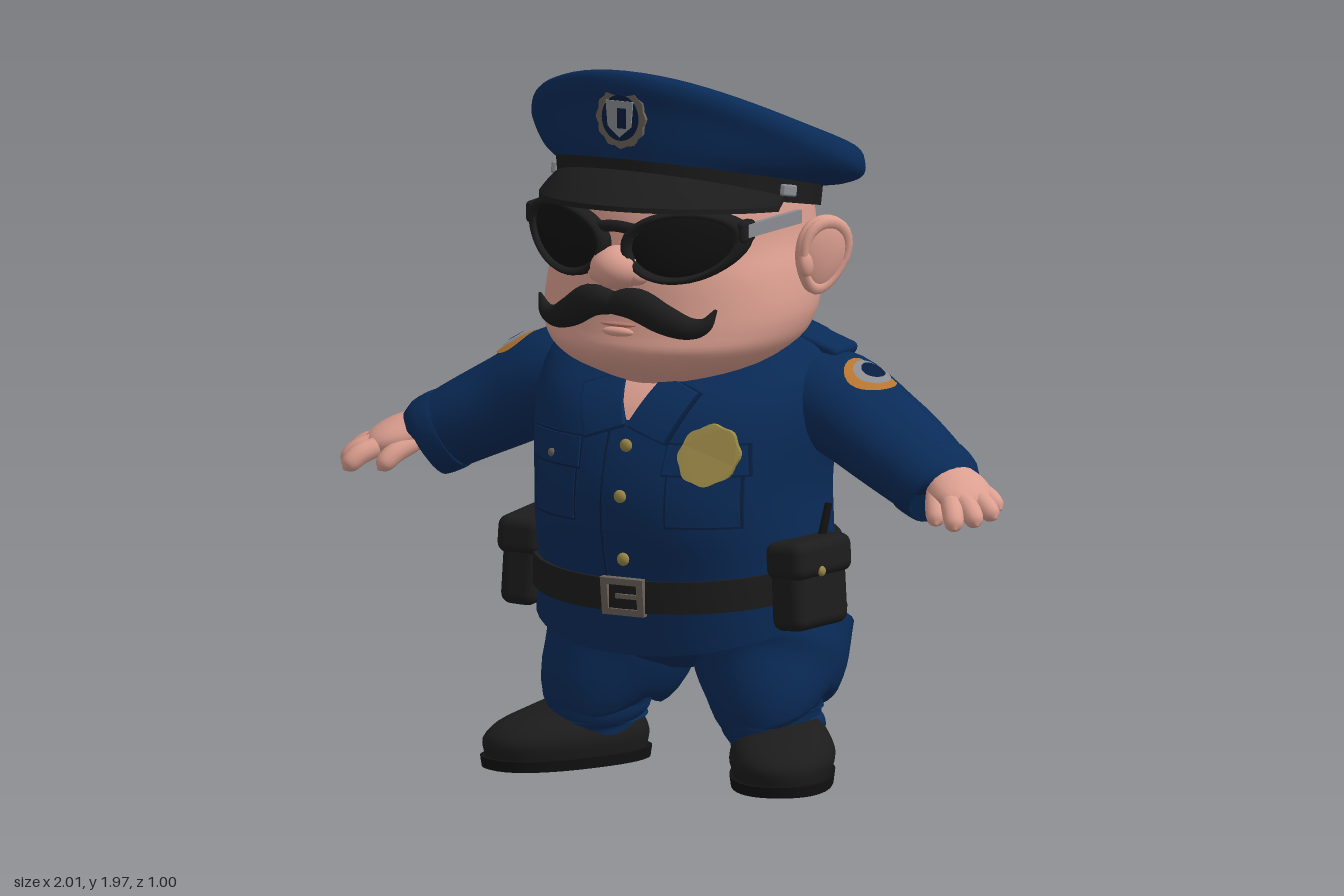
import * as THREE from 'three';
import { toCreasedNormals } from 'three/addons/utils/BufferGeometryUtils.js';
import { RoundedBoxGeometry } from 'three/addons/geometries/RoundedBoxGeometry.js';

const V = (x, y, z) => new THREE.Vector3(x, y, z);

// Smoothly densify rows of up to six numbers
function spline(rows, k) {
  const curve = o => new THREE.CatmullRomCurve3(rows.map(r => V(r[o] || 0, r[o + 1] || 0, r[o + 2] || 0)), false, 'catmullrom', 0.5);
  const a = curve(0), b = curve(3), n = (rows.length - 1) * k;
  return Array.from({ length: n + 1 }, (_, i) => [...a.getPoint(i / n).toArray(), ...b.getPoint(i / n).toArray()]);
}

// Join rings of points into a closed skin with end caps
function skin(rings) {
  const pos = [], idx = [], n = rings[0].length;
  rings.forEach(r => r.forEach(p => pos.push(p.x, p.y, p.z)));
  for (let i = 0; i < rings.length - 1; i++) for (let j = 0; j < n; j++) {
    const a = i * n + j, b = i * n + (j + 1) % n;
    idx.push(a, b, a + n, b, b + n, a + n);
  }
  for (const end of [0, 1]) {
    const ring = rings[end ? rings.length - 1 : 0], base = pos.length / 3, c = V(0, 0, 0);
    ring.forEach(p => { pos.push(p.x, p.y, p.z); c.addScaledVector(p, 1 / n); });
    pos.push(c.x, c.y, c.z);
    for (let j = 0; j < n; j++) {
      const p = base + j, q = base + (j + 1) % n;
      idx.push(base + n, end ? p : q, end ? q : p);
    }
  }
  const g = new THREE.BufferGeometry();
  g.setAttribute('position', new THREE.Float32BufferAttribute(pos, 3));
  g.setIndex(idx);
  g.computeVertexNormals();
  return g;
}

// Stack of level superellipses; row = [y, rx, rz, cz, tilt, bend]
function loft(rows, n = 2, seg = 40) {
  const pw = v => Math.sign(v) * Math.abs(v) ** (2 / n);
  return skin(rows.map(([y, rx, rz, cz = 0, f = 0, b = 0]) => Array.from({ length: seg }, (_, j) => {
    const a = j / seg * Math.PI * 2, t = -pw(Math.sin(a));
    return V(rx * pw(Math.cos(a)), y + f * t + b * t * t, cz + rz * t);
  })));
}

// Ellipses along a path; row = [x, y, z, sideRadius, upRadius]
function sweep(points, up, k = 5, seg = 20) {
  const rows = spline(points, k), at = i => V(...rows[Math.max(0, Math.min(rows.length - 1, i))].slice(0, 3));
  return skin(rows.map((r, i) => {
    const t = at(i + 1).sub(at(i - 1)).normalize();
    const side = up.clone().cross(t).normalize(), v = t.clone().cross(side);
    return Array.from({ length: seg }, (_, j) => {
      const a = j / seg * Math.PI * 2;
      return at(i).addScaledVector(side, r[3] * Math.cos(a)).addScaledVector(v, r[4] * Math.sin(a));
    });
  }));
}

// Move each vertex by a rule
function bend(g, rule) {
  const p = g.attributes.position;
  for (let i = 0; i < p.count; i++) p.setXYZ(i, ...rule(p.getX(i), p.getY(i), p.getZ(i)));
  g.computeVertexNormals();
  return g;
}

function mirror(g) {
  const m = g.clone().scale(-1, 1, 1);
  const idx = m.index ? Array.from(m.index.array) : Array.from({ length: m.attributes.position.count }, (_, i) => i);
  for (let i = 0; i < idx.length; i += 3) [idx[i], idx[i + 1]] = [idx[i + 1], idx[i]];
  m.setIndex(idx);
  return m;
}

const blob = (rx, ry, rz, x, y, z) => new THREE.SphereGeometry(1, 24, 16).scale(rx, ry, rz).translate(x, y, z);

const TORSO = spline([[0.452, 0.432, 0.35, -0.03, -0.025, -0.068], [0.56, 0.41, 0.352, -0.005], [0.7, 0.405, 0.368, 0.013], [0.82, 0.406, 0.366, 0.016],
  [0.95, 0.422, 0.348, -0.002], [1.05, 0.43, 0.32, -0.03], [1.13, 0.425, 0.267, -0.07], [1.19, 0.385, 0.213, -0.1], [1.23, 0.28, 0.16, -0.12]], 4);
const TN = 2.15;

// Front of the shirt at (x, y)
function shirtZ(x, y) {
  let i = 0;
  while (i < TORSO.length - 2 && TORSO[i + 1][0] < y) i++;
  const a = TORSO[i], b = TORSO[i + 1], t = (y - a[0]) / (b[0] - a[0]), mix = c => a[c] + (b[c] - a[c]) * t;
  return mix(3) + mix(2) * Math.max(0, 1 - Math.abs(x / mix(1)) ** TN) ** (1 / TN);
}
const drape = (g, off) => bend(g, (x, y, z) => [x, y, z + shirtZ(x, y) + off]);

// Four-cornered cloth panel lying on the shirt front
function panel(bl, br, tr, tl, off, th = 0.01) {
  const mixed = (u, v, c) => (bl[c] * (1 - u) + br[c] * u) * (1 - v) + (tl[c] * (1 - u) + tr[c] * u) * v;
  return drape(bend(new THREE.BoxGeometry(1, 1, th, 8, 8, 1), (x, y, z) => [mixed(x + 0.5, y + 0.5, 0), mixed(x + 0.5, y + 0.5, 1), z]), off);
}
const rect = (x0, x1, y0, y1, off, th) => panel([x0, y0], [x1, y0], [x1, y1], [x0, y1], off, th);

export function createModel() {
  const root = new THREE.Group();
  const paint = (name, color) => Object.assign(new THREE.MeshStandardMaterial({ color }), { name });
  const blue = paint('uniform blue', 0x0a2b58), navy = paint('seam navy', 0x071e40), skinM = paint('skin', 0xdc9f90), shade = paint('deep skin', 0xb87a6d);
  const black = paint('black leather', 0x1c1c1d), dark = paint('lens black', 0x111112), grey = paint('steel', 0x8a8c92);
  const gold = paint('gold', 0x978546), orange = paint('patch orange', 0xb5752f), bronze = paint('bronze', 0x6b625a);
  const add = (name, g, m) => { const o = new THREE.Mesh(g, m); o.name = name; root.add(o); };
  const pair = (name, g, m) => { add(name + 'Left', g, m); add(name + 'Right', mirror(g), m); };
  const Y = V(0, 1, 0), Z = V(0, 0, 1);

  // Shirt, trousers
  add('shirt', loft(TORSO, TN, 48), blue);
  add('collar', loft(spline([[1.14, 0.34, 0.27, -0.05, -0.04], [1.19, 0.33, 0.26, -0.05, -0.05], [1.21, 0.29, 0.23, -0.05, -0.05]], 3)), blue);
  add('hips', loft(spline([[0.285, 0.06, 0.12, -0.05], [0.325, 0.24, 0.21, -0.06], [0.41, 0.395, 0.28, -0.08], [0.52, 0.38, 0.31, -0.03]], 4)), blue);
  pair('trouserLeg', sweep([[0.275, 0.08, -0.01, 0.105, 0.165], [0.275, 0.13, 0, 0.112, 0.165], [0.268, 0.165, 0.005, 0.128, 0.175], [0.265, 0.185, 0.005, 0.13, 0.17],
    [0.26, 0.225, 0.01, 0.165, 0.185], [0.235, 0.31, -0.035, 0.2, 0.235], [0.215, 0.43, -0.08, 0.205, 0.275]], Z, 4, 28), blue);
  pair('trouserFold', sweep([[0.275, 0.115, 0, 0.108, 0.163], [0.275, 0.125, 0, 0.121, 0.175], [0.273, 0.14, 0, 0.12, 0.172], [0.27, 0.15, 0, 0.108, 0.16]], Z, 2, 28), blue);

  // Shoes, toes turned out
  const shoe = g => g.rotateY(0.46).translate(0.31, 0, 0.02);
  pair('shoeSole', shoe(toCreasedNormals(loft([[0, 0.138, 0.25, 0.055], [0.03, 0.142, 0.255, 0.055]], 2.4), 0.6)), dark);
  pair('shoeUpper', shoe(loft(spline([[0.03, 0.132, 0.243, 0.055], [0.075, 0.143, 0.247, 0.055], [0.115, 0.13, 0.215, 0.04], [0.145, 0.108, 0.16, 0.005], [0.165, 0.09, 0.12, -0.02]], 3), 2.3)), black);

  // Sleeves, cuffs, hands
  pair('sleeve', sweep([[0.26, 1.055, -0.09, 0.15, 0.12], [0.42, 1.03, -0.075, 0.163, 0.137], [0.57, 0.952, -0.06, 0.158, 0.126],
    [0.69, 0.89, -0.03, 0.143, 0.116], [0.795, 0.832, 0, 0.12, 0.105]], Y, 5, 28), blue);
  pair('sleeveCuff', sweep([[0.735, 0.866, -0.015, 0.125, 0.105], [0.74, 0.863, -0.014, 0.137, 0.114], [0.793, 0.835, 0, 0.125, 0.109], [0.8, 0.83, 0.002, 0.1, 0.085]], Y, 3, 28), blue);
  pair('palm', sweep([[0.75, 0.87, -0.01, 0.065, 0.055], [0.83, 0.855, 0.02, 0.08, 0.055], [0.89, 0.835, 0.06, 0.086, 0.046], [0.93, 0.812, 0.08, 0.066, 0.032], [0.945, 0.80, 0.09, 0.01, 0.01]], Y), skinM);
  const fingers = [[[0.88, 0.84, 0], [0.985, 0.8, 0.025]], [[0.91, 0.83, 0.05], [1.0, 0.785, 0.08]], [[0.91, 0.825, 0.1], [0.982, 0.775, 0.15]],
    [[0.89, 0.82, 0.13], [0.945, 0.77, 0.208]], [[0.81, 0.83, 0.07], [0.862, 0.77, 0.165]]];
  fingers.forEach(([a, b], i) => {
    const at = (t, r, lift) => [0, 1, 2].map(c => a[c] + (b[c] - a[c]) * t + (c === 1 ? lift : 0)).concat(r, r);
    pair(i < 4 ? 'finger' + (i + 1) : 'thumb', sweep([at(0, 0.028, 0), at(0.5, 0.029, 0.008), at(0.85, 0.024, 0), at(1, 0.004, -0.004)], Y, 4, 12), skinM);
  });

  // Shoulder straps and arm patches
  pair('shoulderStrap', new RoundedBoxGeometry(0.19, 0.035, 0.13, 3, 0.015).rotateZ(-0.32).translate(0.35, 1.192, -0.1), blue);
  [['patchRim', 1, 0, orange], ['patchField', 0.72, 0.004, grey], ['patchEmblem', 0.46, 0.008, navy]].forEach(([name, r, lift, m]) => {
    const disc = new THREE.RingGeometry(0.001, r, 28, 5).rotateX(-Math.PI / 2).scale(0.07, 1, 0.098);
    const drop = (x, z) => 0.13 * (Math.sqrt(1 - (z / 0.165) ** 2) - 1) - x * x;
    pair(name, bend(disc, (x, y, z) => [x, drop(x, z) + lift, z]).rotateZ(-0.52).translate(0.544, 1.125, -0.055), m);
  });

  // Open neck, lapels, pockets, placket
  add('neckOpening', panel([-0.004, 1.005], [0.004, 1.005], [0.07, 1.12], [-0.07, 1.12], 0.002), skinM);
  pair('lapel', panel([0.006, 0.995], [0.122, 0.955], [0.175, 1.08], [0.06, 1.12], 0.01, 0.016), blue);
  pair('lapelEdge', panel([0.003, 0.987], [0.127, 0.946], [0.183, 1.08], [0.06, 1.12], 0.003), navy);
  add('placketSeam', rect(-0.053, -0.047, 0.46, 0.98, 0, 0.008), navy);
  pair('pocketSeam', rect(0.136, 0.32, 0.724, 0.895, 0), navy);
  pair('pocket', rect(0.142, 0.314, 0.73, 0.89, 0.003), blue);
  pair('pocketFlapSeam', panel([0.124, 0.866], [0.336, 0.866], [0.33, 0.955], [0.13, 0.955], 0.004), navy);
  pair('pocketFlap', panel([0.129, 0.872], [0.331, 0.872], [0.325, 0.95], [0.135, 0.95], 0.009), blue);
  add('pocketButton', blob(0.012, 0.012, 0.008, -0.235, 0.895, shirtZ(-0.235, 0.895) + 0.014), bronze);
  [0.94, 0.805, 0.63].forEach((y, i) => add('shirtButton' + (i + 1), blob(0.018, 0.018, 0.012, 0.01, y, shirtZ(0.01, y) + 0.004), gold));

  // Scalloped chest badge
  const scallop = (r, n, d) => new THREE.Shape(Array.from({ length: 48 }, (_, i) => {
    const a = i / 48 * Math.PI * 2, q = r * (1 + d * Math.cos(n * a));
    return new THREE.Vector2(q * Math.cos(a), q * Math.sin(a));
  }));
  const plate = (s, depth) => new THREE.ExtrudeGeometry(s, { depth, bevelEnabled: false });
  add('chestBadge', drape(plate(scallop(0.073, 8, 0.035), 0.014).scale(0.97, 1.1, 1).translate(0.245, 0.927, 0), 0.018), gold);

  // Belt, buckle, pouches, radio
  const belt = (y, r) => [y, 0.41 + r, 0.348 + r, -0.005, -0.047];
  add('belt', toCreasedNormals(loft([belt(0.53, -0.03), belt(0.53, 0.016), belt(0.618, 0.016), belt(0.618, -0.03)], TN, 48), 0.7), black);
  const frame = new THREE.Shape([[-0.065, -0.052], [0.065, -0.052], [0.065, 0.052], [-0.065, 0.052]].map(p => new THREE.Vector2(...p)));
  frame.holes.push(new THREE.Path([[-0.045, -0.034], [-0.045, 0.034], [0.045, 0.034], [0.045, -0.034]].map(p => new THREE.Vector2(...p))));
  add('buckle', plate(frame, 0.018).rotateX(0.12).translate(0.005, 0.527, 0.35), bronze);
  add('bucklePin', new THREE.BoxGeometry(0.07, 0.012, 0.012).translate(0.02, 0.527, 0.363), bronze);
  pair('pouch', new RoundedBoxGeometry(0.105, 0.225, 0.235, 3, 0.03).rotateZ(0.06).rotateY(-0.12).translate(0.425, 0.55, 0.085), black);
  pair('pouchFlap', new RoundedBoxGeometry(0.125, 0.105, 0.255, 3, 0.03).rotateZ(0.06).rotateY(-0.12).translate(0.425, 0.63, 0.085), black);
  pair('pouchStud', blob(0.01, 0.014, 0.014, 0.485, 0.6, 0.12), gold);
  pair('antenna', new THREE.CylinderGeometry(0.01, 0.013, 0.13, 10).rotateX(-0.4).translate(0.43, 0.7, 0.01), dark);

  // Head, nose, ears, mouth
  add('head', loft(spline([[1.085, 0.07, 0.07, 0.17], [1.105, 0.17, 0.165, 0.1], [1.15, 0.28, 0.275, 0.075], [1.2, 0.338, 0.33, 0.062], [1.25, 0.364, 0.345, 0.04], [1.31, 0.372, 0.355, 0.02],
    [1.4, 0.36, 0.365, 0.003], [1.48, 0.336, 0.365, -0.01], [1.58, 0.325, 0.35, -0.01], [1.64, 0.312, 0.33, -0.015]], 4), 2.1, 48), skinM);
  add('nose', blob(0.075, 0.06, 0.075, 0, 1.432, 0.382), skinM);
  pair('nostril', blob(0.035, 0.032, 0.04, 0.055, 1.418, 0.375), skinM);
  add('mouth', blob(0.055, 0.007, 0.012, 0, 1.275, 0.376), shade);
  add('lowerLip', blob(0.05, 0.014, 0.016, 0, 1.255, 0.378), skinM);
  const ear = g => bend(g, (x, y, z) => [x * (1 + 2.2 * y), y, z]).rotateY(1.0).rotateX(-0.14).rotateZ(-0.2).translate(0.402, 1.44, -0.025);
  pair('ear', ear(blob(0.08, 0.11, 0.036, 0, 0, 0)), skinM);
  pair('earRim', ear(new THREE.TorusGeometry(0.07, 0.013, 10, 28).scale(0.92, 1.32, 1).translate(0, 0, 0.018)), skinM);
  pair('earLobule', blob(0.02, 0.04, 0.03, 0.385, 1.42, 0.025), skinM);
  pair('moustache', sweep([[-0.005, 1.338, 0.405, 0.03, 0.03], [0.07, 1.34, 0.405, 0.045, 0.035], [0.14, 1.302, 0.382, 0.042, 0.034],
    [0.2, 1.278, 0.355, 0.032, 0.028], [0.245, 1.287, 0.338, 0.021, 0.02], [0.273, 1.33, 0.325, 0.004, 0.004]], Z), black);

  // Wraparound sunglasses, fuller towards the upper outer corners
  const wrap = (x, y, z) => {
    const px = x * (1 + 1.2 * y) + 0.18;
    return [px, y + 1.498 + 0.1 * x, z + 0.392 - 1.25 * px * px];
  };
  pair('lens', bend(blob(0.142, 0.09, 0.02, 0, 0, 0), wrap), dark);
  pair('lensFrame', bend(new THREE.TorusGeometry(0.142, 0.017, 10, 40).scale(1, 0.64, 1.8), wrap), black);
  add('bridge', sweep([[-0.07, 1.54, 0.39, 0.016, 0.015], [0, 1.548, 0.395, 0.016, 0.015], [0.07, 1.54, 0.39, 0.016, 0.015]], Z), black);
  pair('hinge', new RoundedBoxGeometry(0.035, 0.06, 0.07, 2, 0.012).translate(0.322, 1.54, 0.255), black);
  pair('templeArm', new THREE.BoxGeometry(0.016, 0.036, 0.27).rotateY(-0.05).translate(0.34, 1.542, 0.13), grey);

  // Cap: row from front, side and back heights
  const tier = (F, S, B, rx, rz, cz) => [S, rx, rz, cz, (F - B) / 2, (F + B) / 2 - S];
  add('capBand', loft([tier(1.645, 1.575, 1.5, 0.352, 0.365, -0.015), tier(1.735, 1.65, 1.56, 0.36, 0.368, -0.015)], 2, 56), black);
  add('capCrown', loft(spline([tier(1.725, 1.635, 1.55, 0.362, 0.37, -0.015), tier(1.78, 1.645, 1.555, 0.405, 0.4, -0.04), tier(1.87, 1.67, 1.575, 0.445, 0.427, -0.065),
    tier(1.935, 1.71, 1.61, 0.456, 0.435, -0.065), tier(1.965, 1.755, 1.67, 0.43, 0.405, -0.065), tier(1.92, 1.79, 1.725, 0.3, 0.28, -0.065),
    tier(1.85, 1.807, 1.765, 0.13, 0.12, -0.065), tier(1.812, 1.81, 1.805, 0.006, 0.006, -0.065)], 4), 2, 56), blue);
  const peak = bend(new THREE.BoxGeometry(1, 1, 1, 32, 1, 6), (x, y, z) => {
    const a = x * 2.7, v = z + 0.5, c = Math.cos(a), mix = (p, q) => p + (q - p) * v;
    return [mix(0.35, 0.36) * Math.sin(a), mix(1.58 + 0.11 * c, 1.572 + 0.042 * c) + 0.008 * Math.sin(v * Math.PI) * c + 0.014 * y, mix(0.352 * c - 0.01, 0.48 * c + 0.015)];
  });
  add('capPeak', peak, black);
  pair('strapSlide', new RoundedBoxGeometry(0.018, 0.032, 0.07, 2, 0.006).rotateX(-0.2).translate(0.354, 1.625, 0.07), grey);

  // Cap emblem
  add('emblemRim', plate(scallop(0.074, 12, 0.04), 0.016).scale(1, 1.12, 1).translate(0, 1.84, 0.35), bronze);
  add('emblemField', plate(scallop(0.056, 1, 0), 0.004).scale(1, 1.12, 1).translate(0, 1.84, 0.366), navy);
  const shield = new THREE.Shape([[0, -0.055], [0.036, -0.025], [0.042, 0.045], [-0.042, 0.045], [-0.036, -0.025]].map(p => new THREE.Vector2(...p)));
  add('emblemShield', plate(shield, 0.004).translate(0, 1.842, 0.37), grey);
  add('emblemStripe', new THREE.BoxGeometry(0.028, 0.055, 0.003).translate(0.008, 1.84, 0.3745), navy);
  return root;
}
